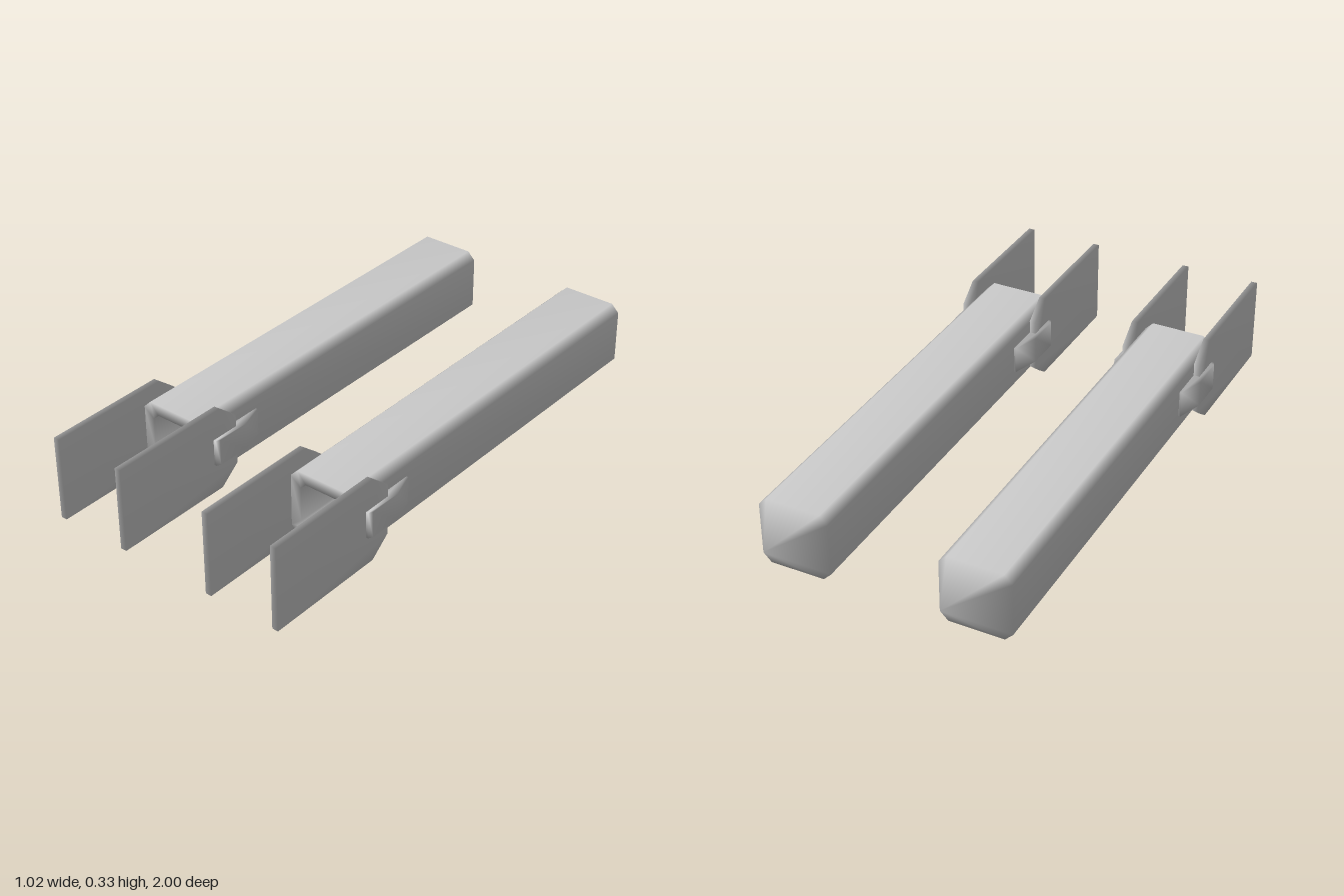
import * as THREE from 'three';
import { mergeVertices } from 'three/addons/utils/BufferGeometryUtils.js';

const material = new THREE.MeshStandardMaterial({ color: 0xcccccc });

// Share corners so the shading runs smoothly over every edge
function soften(geometry) {
  geometry.deleteAttribute('uv');
  geometry.deleteAttribute('normal');
  const merged = mergeVertices(geometry, 1e-4);
  merged.computeVertexNormals();
  return merged;
}

function makeMesh(name, geometry) {
  const mesh = new THREE.Mesh(geometry, material);
  mesh.name = name;
  return mesh;
}

// Rectangle with cut corners, counter-clockwise from the lower right
function section(hw, y0, y1, c, z) {
  return [
    [hw, y0 + c], [hw, y1 - c], [hw - c, y1], [c - hw, y1],
    [-hw, y1 - c], [-hw, y0 + c], [c - hw, y0], [hw - c, y0],
  ].map(([x, y]) => [x, y, z]);
}

// Skin a row of sections and close both ends
function loft(sections) {
  const n = sections[0].length;
  const index = [];
  for (let i = 0; i < sections.length - 1; i++) {
    for (let j = 0; j < n; j++) {
      const k = (j + 1) % n;
      const a = i * n + j, b = i * n + k, c = b + n, d = a + n;
      index.push(a, b, c, a, c, d);
    }
  }
  const last = (sections.length - 1) * n;
  for (let j = 1; j < n - 1; j++) {
    index.push(0, j + 1, j);
    index.push(last, last + j, last + j + 1);
  }
  const geometry = new THREE.BufferGeometry();
  geometry.setAttribute('position', new THREE.Float32BufferAttribute(sections.flat(2), 3));
  geometry.setIndex(index);
  geometry.computeVertexNormals();
  return geometry;
}

function extrude(points, depth) {
  const shape = new THREE.Shape(points.map(([x, y]) => new THREE.Vector2(x, y)));
  return new THREE.ExtrudeGeometry(shape, { depth, bevelEnabled: false });
}

// Side plate: (z, y) outline with the rear corners cut
function plateGeometry(xMax) {
  const outline = [[1, 0], [1, 0.326], [0.52, 0.326], [0.44, 0.262], [0.44, 0.064], [0.52, 0]];
  const geometry = extrude(outline, 0.024);
  geometry.rotateY(-Math.PI / 2);
  geometry.translate(xMax, 0, 0);
  return soften(geometry);
}

// Clip: (x, z) outline that tapers to the rear
function clipGeometry(side) {
  const outline = [
    [0.128, 0.31], [0.14, 0.31], [0.172, 0.41],
    [0.172, 0.54], [0.164, 0.556], [0.128, 0.556],
  ].map(([x, z]) => [side * x, z]);
  const geometry = extrude(outline, 0.102);
  geometry.rotateX(Math.PI / 2);
  geometry.translate(0, 0.215, 0);
  return soften(geometry);
}

function makeBarrel(name) {
  const group = new THREE.Group();
  group.name = name;
  // Closed tube with a recessed mouth
  group.add(makeMesh('barrel', loft([
    section(0.132, 0.03, 0.29, 0.03, -1),
    section(0.132, 0.03, 0.29, 0.03, 0.597),
    section(0.088, 0.073, 0.247, 0.022, 0.597),
    section(0.088, 0.073, 0.247, 0.022, 0.25),
  ])));
  for (const side of [1, -1]) {
    const label = side > 0 ? 'left' : 'right';
    group.add(makeMesh(label + 'Plate', plateGeometry(side > 0 ? 0.155 : -0.131)));
    group.add(makeMesh(label + 'Clip', clipGeometry(side)));
  }
  return group;
}

export function createModel() {
  const model = new THREE.Group();
  model.name = 'twinBarrels';
  for (const side of [1, -1]) {
    const barrel = makeBarrel(side > 0 ? 'leftBarrel' : 'rightBarrel');
    barrel.position.x = side * 0.336;
    model.add(barrel);
  }
  return model;
}
